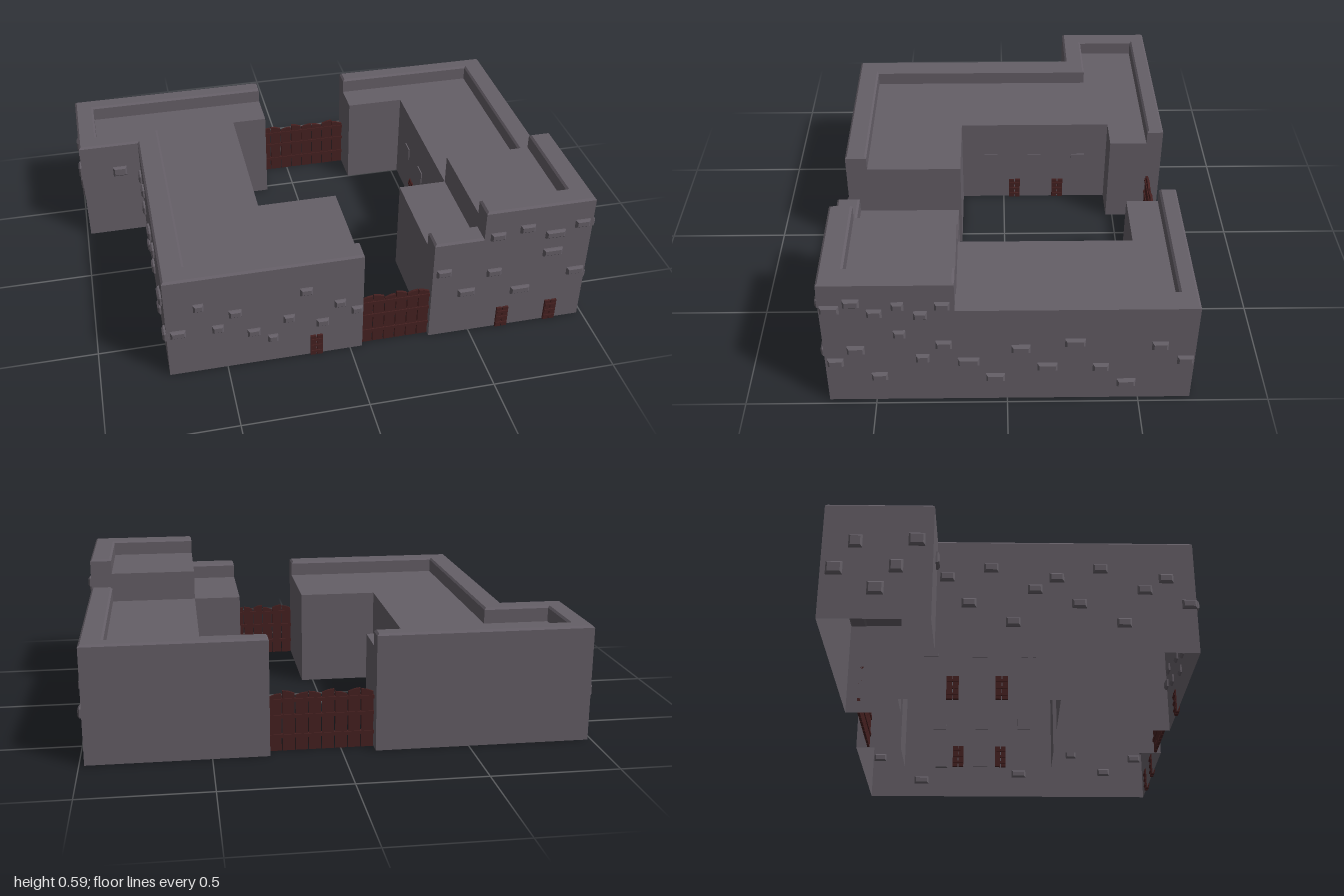
import * as THREE from 'three';

const stone = new THREE.MeshStandardMaterial({ color: 0x655f67, side: THREE.DoubleSide });
stone.name = 'stone';
const wood = new THREE.MeshStandardMaterial({ color: 0x452020 });
wood.name = 'darkWood';

const ROOF = 0.405, TOP = 0.47, TOWER_ROOF = 0.53, TOWER_TOP = 0.595;

// Footprints are [x, z] points running counter-clockwise as seen from above.
const toShape = (pts) => new THREE.Shape(pts.map(([x, z]) => new THREE.Vector2(x, -z)));

function add(parent, name, geometry, material, x = 0, y = 0, z = 0) {
  const mesh = new THREE.Mesh(geometry, material);
  mesh.name = name;
  mesh.position.set(x, y, z);
  parent.add(mesh);
  return mesh;
}

// Hollow shell: one wall per footprint edge plus a flat roof, open underneath.
function shell(name, pts, y0, y1) {
  const group = new THREE.Group();
  group.name = name;
  pts.forEach(([ax, az], i) => {
    const [bx, bz] = pts[(i + 1) % pts.length];
    const wall = add(group, 'wall', new THREE.PlaneGeometry(Math.hypot(bx - ax, bz - az), y1 - y0),
      stone, (ax + bx) / 2, (y0 + y1) / 2, (az + bz) / 2);
    wall.rotation.y = Math.atan2(az - bz, bx - ax);
  });
  add(group, 'roof', new THREE.ShapeGeometry(toShape(pts)).rotateX(-Math.PI / 2), stone, 0, y1, 0);
  return group;
}

// Raised rim with a small chamfer; its lower chamfer is sunk into the shell.
function parapet(pts, y0, y1) {
  const c = 0.008;
  const geometry = new THREE.ExtrudeGeometry(toShape(pts), {
    depth: y1 - y0 - c, bevelThickness: c, bevelSize: c, bevelOffset: -c, bevelSegments: 1,
  }).rotateX(-Math.PI / 2);
  return add(new THREE.Group(), 'parapet', geometry, stone, 0, y0, 0);
}

// Chamfered block set halfway into a wall.
function brickGeometry(w, h) {
  const c = 0.007;
  const pts = [[-w / 2, h / 2], [w / 2, h / 2], [w / 2, -h / 2], [-w / 2, -h / 2]];
  return new THREE.ExtrudeGeometry(toShape(pts), {
    depth: 0.014, bevelThickness: c, bevelSize: c, bevelOffset: -c, bevelSegments: 1,
  }).translate(0, 0, -0.007);
}

// Rows of [along, y, width]; place() turns them into wall positions.
function bricks(name, rows, h, angle, place) {
  const group = new THREE.Group();
  group.name = name;
  for (const [a, y, w] of rows) {
    const [x, z] = place(a);
    add(group, 'brick', brickGeometry(w, h), stone, x, y, z).rotation.y = angle;
  }
  return group;
}

// Small plank door with cross bars.
function door(x, z, angle) {
  const group = new THREE.Group();
  group.name = 'door';
  for (const s of [-1, 1]) add(group, 'doorPlank', new THREE.BoxGeometry(0.023, 0.1, 0.014), wood, s * 0.0135, 0.05, 0);
  for (const y of [0.02, 0.05, 0.08]) add(group, 'doorBar', new THREE.BoxGeometry(0.046, 0.01, 0.022), wood, 0, y, 0);
  group.position.set(x, 0, z);
  group.rotation.y = angle;
  return group;
}

// Palisade gate with uneven slanted plank tops and two rails.
function gate(name, x0, x1, z, count) {
  const group = new THREE.Group();
  group.name = name;
  const step = (x1 - x0) / count, w = step * 0.92;
  for (let i = 0; i < count; i++) {
    const h = 0.232 + 0.006 * Math.sin(i * 2.4), tilt = i % 2 ? 0.006 : -0.006;
    const shape = new THREE.Shape([[-w / 2, 0], [w / 2, 0], [w / 2, h - tilt], [0, h + 0.003], [-w / 2, h + tilt]]
      .map(([x, y]) => new THREE.Vector2(x, y)));
    add(group, 'gatePlank', new THREE.ExtrudeGeometry(shape, { depth: 0.01, bevelEnabled: false }),
      wood, x0 + step * (i + 0.5), 0, z - 0.005);
  }
  for (const y of [0.06, 0.14, 0.205]) {
    add(group, 'gateRail', new THREE.BoxGeometry(x1 - x0, 0.014, 0.018), wood, (x0 + x1) / 2, y, z);
  }
  return group;
}

export function createModel() {
  const model = new THREE.Group();
  model.name = 'fort';

  // Building shells
  model.add(
    shell('rightWing', [[-0.13, -0.7], [-0.985, -0.7], [-0.985, -0.3], [-0.73, -0.3], [-0.73, 0.68],
      [0.05, 0.68], [0.05, 0.19], [-0.28, 0.19], [-0.28, -0.47], [-0.13, -0.47]], 0, ROOF),
    shell('leftWing', [[0.98, 0.68], [0.98, -0.7], [0.28, -0.7], [0.28, -0.5], [0.53, -0.5],
      [0.53, 0.19], [0.33, 0.19], [0.33, 0.68]], 0, ROOF),
    shell('tower', [[0.53, 0.68], [0.98, 0.68], [0.98, 0.19], [0.53, 0.19]], ROOF, TOWER_ROOF),
  );

  // Parapets along the outer edges
  model.add(
    parapet([[-0.13, -0.7], [-0.985, -0.7], [-0.985, -0.3], [-0.73, -0.3], [-0.73, 0.68], [0.05, 0.68],
      [0.05, 0.59], [-0.635, 0.59], [-0.635, -0.385], [-0.905, -0.385], [-0.905, -0.63], [-0.13, -0.63]], ROOF, TOP),
    parapet([[0.98, 0.2], [0.98, -0.7], [0.28, -0.7], [0.28, -0.63], [0.89, -0.63], [0.89, 0.2]], ROOF, TOP),
    parapet([[0.33, 0.68], [0.535, 0.68], [0.535, 0.59], [0.33, 0.59]], ROOF, TOP),
    parapet([[0.53, 0.68], [0.98, 0.68], [0.98, 0.19], [0.89, 0.19], [0.89, 0.59], [0.53, 0.59]], TOWER_ROOF, TOWER_TOP),
  );

  // Front bricks
  model.add(bricks('frontBricks', [
    [-0.6, 0.33, 0.04], [-0.46, 0.275, 0.05], [-0.685, 0.21, 0.06], [-0.53, 0.21, 0.045], [-0.39, 0.165, 0.05],
    [-0.315, 0.12, 0.04], [-0.25, 0.21, 0.045], [-0.18, 0.335, 0.05], [-0.115, 0.165, 0.05], [-0.045, 0.25, 0.045],
    [0.024, 0.205, 0.045], [0.375, 0.325, 0.06], [0.475, 0.21, 0.07], [0.585, 0.295, 0.06], [0.585, 0.475, 0.06],
    [0.705, 0.495, 0.06], [0.825, 0.45, 0.08], [0.825, 0.36, 0.08], [0.935, 0.485, 0.06], [0.935, 0.245, 0.07],
    [0.705, 0.185, 0.08],
  ], 0.034, 0, (x) => [x, 0.68]));
  model.add(bricks('cornerBrick', [[-0.82, 0.33, 0.06]], 0.045, 0, (x) => [x, -0.3]));

  // Bricks on the +x side
  model.add(bricks('leftSideBricks', [
    [0.64, 0.475, 0.07], [0.56, 0.505, 0.06], [0.48, 0.455, 0.055], [0.395, 0.49, 0.045], [0.315, 0.445, 0.05],
    [0.235, 0.49, 0.055], [0.395, 0.35, 0.045], [0.235, 0.295, 0.06], [0.56, 0.27, 0.065], [0.64, 0.205, 0.06],
    [0.48, 0.13, 0.06], [0.315, 0.225, 0.05], [0.145, 0.205, 0.08], [0.045, 0.12, 0.07], [-0.05, 0.27, 0.07],
    [-0.15, 0.175, 0.075], [-0.25, 0.3, 0.075], [-0.35, 0.17, 0.06], [-0.45, 0.085, 0.07], [-0.565, 0.28, 0.06],
    [-0.665, 0.205, 0.06],
  ], 0.036, Math.PI / 2, (z) => [0.98, z]));

  // Bricks on the -x side, in a repeating stagger
  const heights = [0.31, 0.2, 0.35, 0.12, 0.26];
  const sideRows = Array.from({ length: 12 }, (_, i) => [-0.26 + i * 0.083, heights[i % 5], 0.055]);
  const annexRows = [[-0.65, 0.2, 0.06], [-0.58, 0.31, 0.05], [-0.5, 0.12, 0.06], [-0.43, 0.21, 0.05], [-0.36, 0.32, 0.06]];
  model.add(
    bricks('rightSideBricks', sideRows, 0.036, -Math.PI / 2, (z) => [-0.73, z]),
    bricks('annexBricks', annexRows, 0.05, -Math.PI / 2, (z) => [-0.985, z]),
  );

  // Courtyard window plates and doors
  for (const x of [-0.28, 0.53]) {
    for (const z of [0.06, -0.14, -0.34]) {
      add(model, 'courtyardWindow', new THREE.BoxGeometry(0.009, 0.055, 0.06), stone, x, 0.215, z);
    }
    for (const z of [-0.05, -0.25]) model.add(door(x, z, Math.PI / 2));
  }

  // Front doors and the two gates
  for (const x of [-0.14, 0.64, 0.85]) model.add(door(x, 0.682, 0));
  model.add(gate('frontGate', 0.05, 0.33, 0.655, 6), gate('backGate', -0.13, 0.28, -0.645, 8));

  return model;
}
